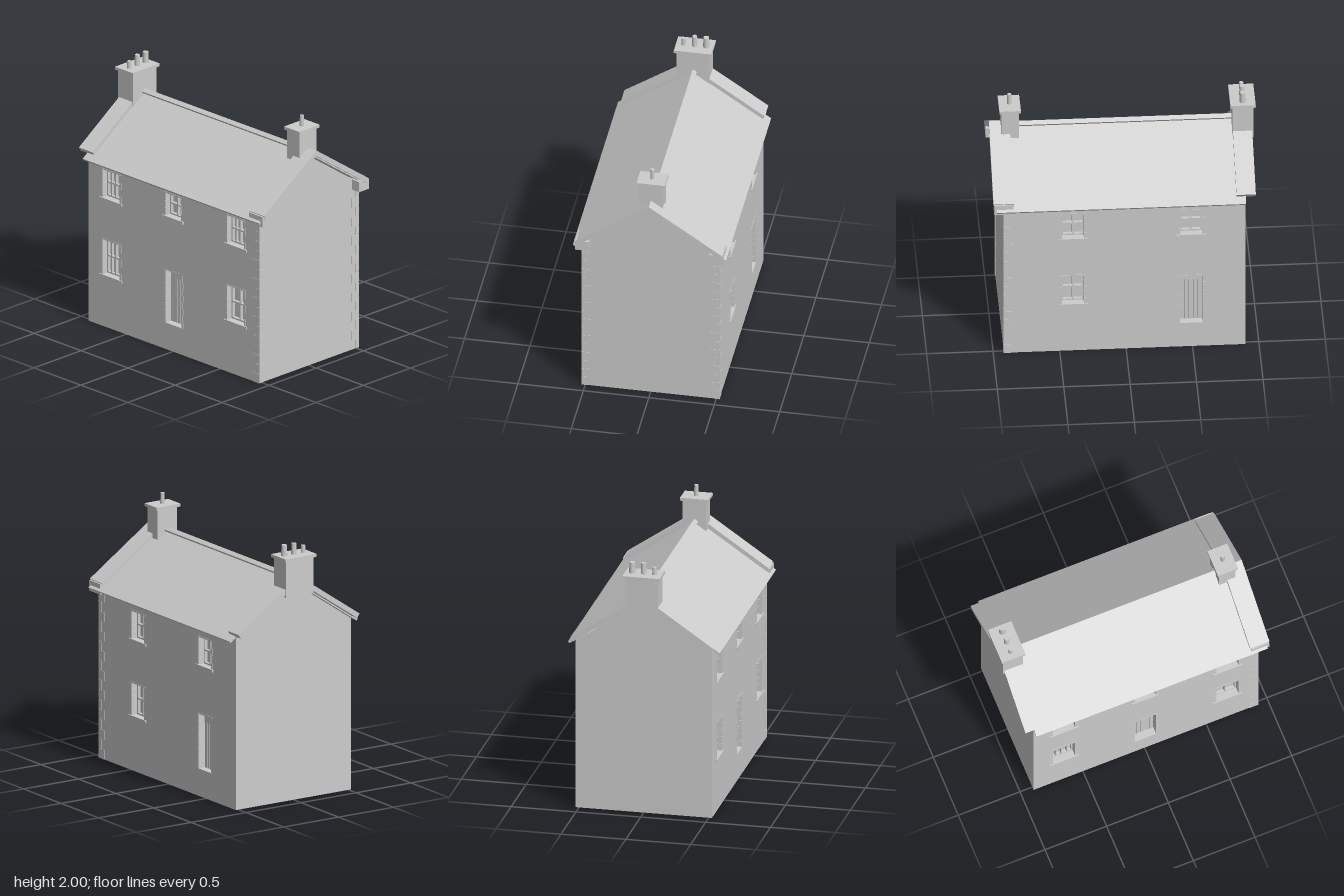
import * as THREE from 'three';

const stone = new THREE.MeshStandardMaterial({ color: 0xcccccc, side: THREE.DoubleSide });
stone.name = 'pale grey stone';

const LEFT = 0.92, RIGHT = -0.9, DEPTH = 0.525, EAVE = 1.333, SLOPE = 0.68;

function add(parent, geometry, name) {
  const mesh = new THREE.Mesh(geometry, stone);
  mesh.name = name;
  parent.add(mesh);
  return mesh;
}

// Box given by its lowest and highest corners
function block(parent, name, x0, x1, y0, y1, z0, z1) {
  const mesh = add(parent, new THREE.BoxGeometry(x1 - x0, y1 - y0, z1 - z0), name);
  mesh.position.set((x0 + x1) / 2, (y0 + y1) / 2, (z0 + z1) / 2);
  return mesh;
}

function polygon(points) {
  return new THREE.Shape(points.map(([x, y]) => new THREE.Vector2(x, y)));
}

// Pitched slab with ends cut square to the slope, running from x0 to x1
function pitched(parent, name, x0, x1, peak, half, thick) {
  const len = Math.hypot(1, SLOPE), end = peak - SLOPE * half;
  const dz = thick * SLOPE / len, dy = thick / len;
  const shape = polygon([
    [0, peak], [-half, end], [-half + dz, end - dy],
    [0, peak - thick * len], [half - dz, end - dy], [half, end],
  ]);
  const geo = new THREE.ExtrudeGeometry(shape, { depth: x1 - x0, bevelEnabled: false });
  geo.rotateY(Math.PI / 2);
  geo.translate(x0, 0, 0);
  return add(parent, geo, name);
}

// Alternating jamb stones and a lintel; z = 0 is the wall face
function surround(group, o) {
  const courses = Math.round((o.y1 - o.y0) / 0.055);
  const h = (o.y1 - o.y0) / courses;
  for (let i = 0; i < courses; i++) {
    const w = i % 2 ? 0.01 : 0.018;
    const y = o.y0 + i * h;
    block(group, 'jambStone', o.x0 - w, o.x0, y, y + h - 0.002, -0.1, 0.003);
    block(group, 'jambStone', o.x1, o.x1 + w, y, y + h - 0.002, -0.1, 0.003);
  }
  block(group, 'lintel', o.x0 - 0.012, o.x1 + 0.012, o.y1, o.y1 + 0.01, -0.1, 0.003);
}

function makeWindow(o) {
  const group = new THREE.Group();
  group.name = 'window';
  surround(group, o);
  block(group, 'sill', o.x0 - 0.03, o.x1 + 0.03, o.y0 - 0.02, o.y0, -0.1, 0.012);
  block(group, 'pane', o.x0, o.x1, o.y0, o.y1, -0.075, -0.07);
  // outer frame and glazing bars
  const bar = (x0, x1, y0, y1) => block(group, 'frameBar', x0, x1, y0, y1, -0.07, -0.045);
  const f = 0.012;
  bar(o.x0, o.x0 + f, o.y0, o.y1);
  bar(o.x1 - f, o.x1, o.y0, o.y1);
  bar(o.x0 + f, o.x1 - f, o.y0, o.y0 + f);
  bar(o.x0 + f, o.x1 - f, o.y1 - f, o.y1);
  const mid = (o.y0 + o.y1) / 2;
  bar(o.x0 + f, o.x1 - f, mid - 0.006, mid + 0.006);
  for (let i = 1; i < o.cols; i++) {
    const x = o.x0 + (o.x1 - o.x0) * i / o.cols;
    bar(x - 0.005, x + 0.005, o.y0 + f, o.y1 - f);
  }
  return group;
}

function makeDoor(o) {
  const group = new THREE.Group();
  group.name = 'door';
  surround(group, o);
  block(group, 'doorPanel', o.x0, o.x1, o.y0, o.y1, -0.07, -0.062);
  // raised planks with a plain rail above
  const w = (o.x1 - o.x0) / 5;
  for (let i = 0; i < 5; i++) {
    const x = o.x0 + i * w;
    block(group, 'doorPlank', x + 0.002, x + w - 0.002, o.y0, 0.57, -0.062, -0.055);
  }
  block(group, 'doorRail', o.x0, o.x1, 0.57, o.y1, -0.062, -0.055);
  block(group, 'doorStep', o.x0, o.x1, o.y0 - 0.006, o.y0, -0.1, 0.003);
  return group;
}

// Long wall with cut openings, built facing +z
function makeWall(name, x0, x1, openings) {
  const group = new THREE.Group();
  group.name = name;
  const shape = polygon([[x0, 0], [x1, 0], [x1, EAVE], [x0, EAVE]]);
  for (const o of openings) {
    shape.holes.push(polygon([[o.x0, o.y0], [o.x0, o.y1], [o.x1, o.y1], [o.x1, o.y0]]));
    group.add(o.cols ? makeWindow(o) : makeDoor(o));
  }
  add(group, new THREE.ShapeGeometry(shape), name + 'Surface');
  return group;
}

const opening = (x, width, y0, y1, cols) =>
  ({ x0: x - width / 2, x1: x + width / 2, y0, y1, cols });

function makeChimney(name, x0, x1, half, bottom, pots) {
  const group = new THREE.Group();
  group.name = name;
  block(group, 'stack', x0, x1, bottom, 1.895, -half, half);
  block(group, 'cap', x0 - 0.015, x1 + 0.015, 1.892, 1.915, -half - 0.018, half + 0.018);
  for (const [z, r, top] of pots) {
    const pot = add(group, new THREE.CylinderGeometry(r * 0.9, r, top - 1.91, 16), 'chimneyPot');
    pot.position.set((x0 + x1) / 2, (top + 1.91) / 2, z);
  }
  return group;
}

export function createModel() {
  const house = new THREE.Group();
  house.name = 'cottage';

  // Front and back walls
  const front = makeWall('frontWall', RIGHT, LEFT, [
    opening(-0.655, 0.18, 0.42, 0.7, 4),
    opening(-0.655, 0.18, 1.04, 1.265, 4),
    opening(0.67, 0.18, 0.42, 0.7, 2),
    opening(0.67, 0.18, 1.04, 1.265, 4),
    opening(0.005, 0.165, 1.08, 1.262, 2),
    opening(0.008, 0.17, 0.215, 0.64, 0),
  ]);
  front.position.z = DEPTH;
  const back = makeWall('backWall', -LEFT, -RIGHT, [
    opening(-0.4, 0.165, 0.43, 0.68, 2),
    opening(-0.4, 0.165, 1.025, 1.24, 2),
    opening(0.49, 0.165, 1.025, 1.24, 2),
    opening(0.49, 0.17, 0.215, 0.64, 0),
  ]);
  back.rotation.y = Math.PI;
  back.position.z = -DEPTH;
  house.add(front, back);

  // Gable walls
  const gable = new THREE.ShapeGeometry(polygon([
    [-DEPTH, 0], [DEPTH, 0], [DEPTH, EAVE], [0, EAVE + SLOPE * DEPTH], [-DEPTH, EAVE],
  ]));
  for (const [x, side] of [[LEFT, 1], [RIGHT, -1]]) {
    const wall = add(house, gable, side > 0 ? 'leftGable' : 'rightGable');
    wall.rotation.y = side * Math.PI / 2;
    wall.position.x = x;
  }

  // Corner stones on the left gable, long and short in turn
  const courses = 17, h = 1.3 / courses;
  for (const s of [1, -1]) {
    for (let i = 0; i < courses; i++) {
      const a = i % 2 ? 0.035 : 0.07, b = i % 2 ? 0.07 : 0.035;
      const za = s * (DEPTH + 0.003), zb = s * (DEPTH - b);
      block(house, 'cornerStone', LEFT - a, LEFT + 0.003, i * h, (i + 1) * h - 0.003,
        Math.min(za, zb), Math.max(za, zb));
    }
    // Kneeler under the coping foot
    block(house, 'kneeler', 0.85, 0.995, 1.29, 1.372, s > 0 ? 0.46 : -0.565, s > 0 ? 0.565 : -0.46);
  }

  // Roof, ridge and gable copings
  pitched(house, 'roof', RIGHT, 0.975, 1.72, 0.585, 0.018);
  pitched(house, 'ridgeCap', -0.84, 0.86, 1.752, 0.03, 0.02);
  pitched(house, 'leftCoping', 0.845, 1, 1.757, 0.555, 0.038);
  pitched(house, 'rightCoping', -0.975, -0.83, 1.757, 0.55, 0.038);

  // Chimneys
  house.add(
    makeChimney('rightChimney', -0.985, -0.825, 0.125, 1.61,
      [[-0.088, 0.024, 2], [0, 0.021, 2], [0.084, 0.018, 1.972]]),
    makeChimney('leftChimney', 0.78, 0.912, 0.09, 1.655, [[0, 0.017, 2]]),
  );
  return house;
}
